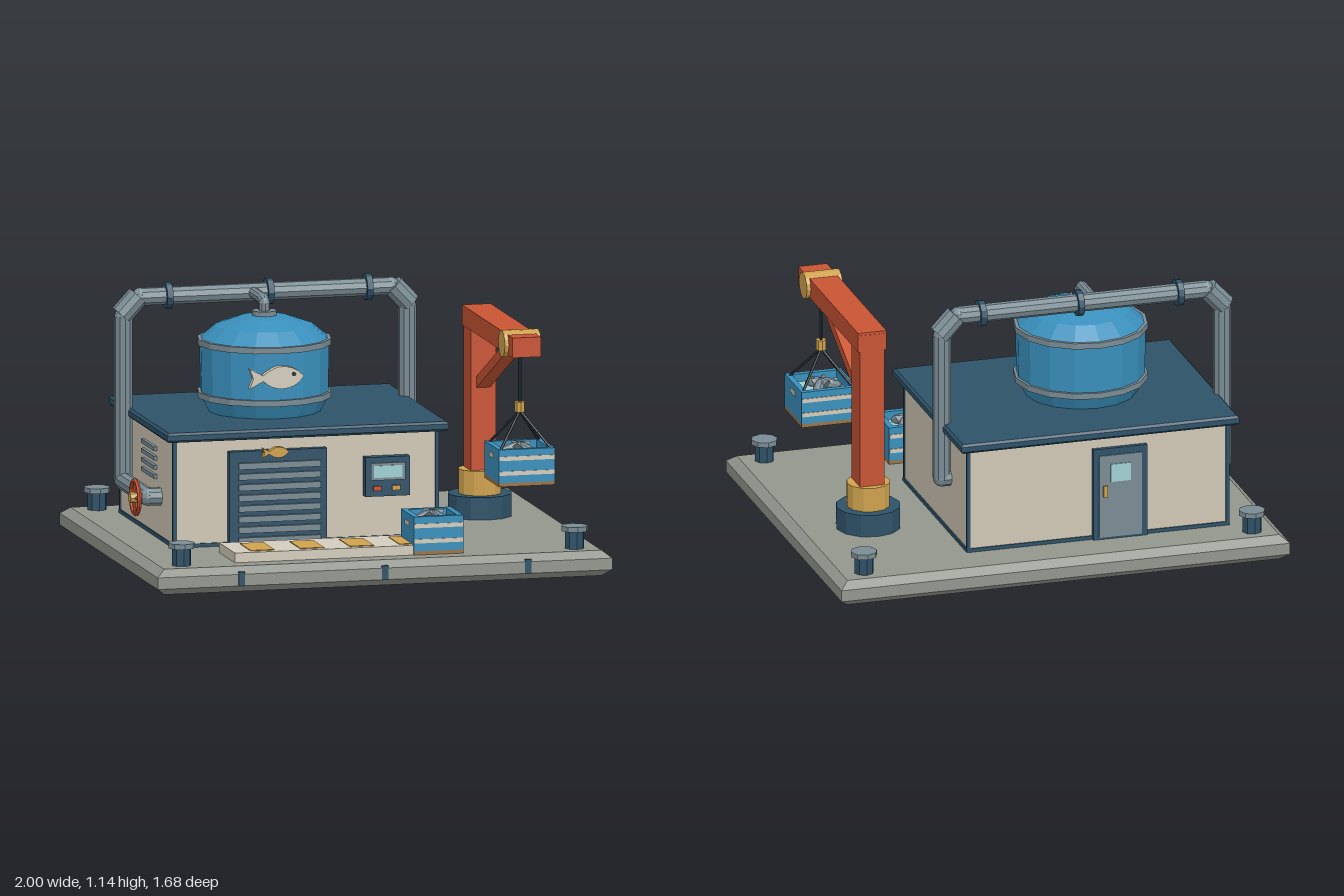
import * as THREE from 'three';

const C = { stone: 0x92968d, wall: 0xd0c8b6, navy: 0x2e5268, blue: 0x398fbc, red: 0xc85434, gold: 0xcfa24e,
  pipe: 0x7a8c94, cream: 0xd2ccbc, ice: 0x9fd0d2, wood: 0x9a7448, dark: 0x26333d };
const mats = {};
const mat = (c) => (mats[c] ??= new THREE.MeshStandardMaterial({ color: C[c], flatShading: true }));

function add(parent, name, geo, color, x = 0, y = 0, z = 0) {
  const m = new THREE.Mesh(geo, mat(color));
  m.name = name;
  m.position.set(x, y, z);
  parent.add(m);
  return m;
}
const box = (p, name, color, w, h, d, x, y, z) => add(p, name, new THREE.BoxGeometry(w, h, d), color, x, y, z);
// upright cylinder standing on y0
const drum = (p, name, color, r, y0, y1, x, z, n = 12) =>
  add(p, name, new THREE.CylinderGeometry(r, r, y1 - y0, n), color, x, (y0 + y1) / 2, z);
// cylinder between two points
function rod(p, name, color, a, b, r, n = 10) {
  const A = new THREE.Vector3(...a), B = new THREE.Vector3(...b), d = B.clone().sub(A);
  const m = add(p, name, new THREE.CylinderGeometry(r, r, d.length(), n), color);
  m.position.copy(A).add(B).multiplyScalar(0.5);
  m.quaternion.setFromUnitVectors(new THREE.Vector3(0, 1, 0), d.normalize());
  return m;
}
// slab with chamfered edges, lying on y0
function slab(p, name, color, w, d, y0, h, bevel, t, x, z) {
  const a = w / 2 - bevel, b = d / 2 - bevel;
  const s = new THREE.Shape([[-a, -b], [a, -b], [a, b], [-a, b]].map((v) => new THREE.Vector2(...v)));
  const g = new THREE.ExtrudeGeometry(s, { depth: h - 2 * t, bevelSize: bevel, bevelThickness: t, bevelSegments: 1 });
  g.rotateX(-Math.PI / 2);
  return add(p, name, g, color, x, y0 + t, z);
}
// flat fish facing +x, length about 1
function fishGeo(len, depth) {
  const s = new THREE.Shape();
  s.moveTo(0.5, 0.02);
  s.quadraticCurveTo(0.3, 0.24, 0.02, 0.2);
  s.quadraticCurveTo(-0.15, 0.14, -0.25, 0.05);
  s.lineTo(-0.5, 0.18);
  s.lineTo(-0.43, 0);
  s.lineTo(-0.5, -0.18);
  s.lineTo(-0.25, -0.05);
  s.quadraticCurveTo(-0.1, -0.2, 0.1, -0.2);
  s.quadraticCurveTo(0.35, -0.2, 0.5, 0.02);
  const g = new THREE.ExtrudeGeometry(s, { depth: depth / len, bevelEnabled: false, curveSegments: 4 });
  return g.scale(len, len, len);
}

// open crate of ice and fish
function crate(name, w, h, x, y, z) {
  const g = new THREE.Group();
  g.name = name;
  g.position.set(x, y, z);
  box(g, 'crateFloor', 'wood', w, 0.016, w, 0, 0.008, 0);
  const t = 0.025;
  for (const s of [-1, 1]) {
    box(g, 'crateFrontWall', 'blue', w, h - 0.016, t, 0, h / 2 + 0.008, s * (w - t) / 2);
    box(g, 'crateSideWall', 'blue', t, h - 0.016, w - 2 * t, s * (w - t) / 2, h / 2 + 0.008, 0);
    for (const f of [0.42, 0.82]) box(g, 'crateStripe', 'cream', w * 0.98, 0.018, 0.006, 0, h * f - 0.01, s * w / 2);
    box(g, 'crateHandle', 'cream', 0.006, 0.02, 0.07, s * w / 2, h * 0.75, 0);
  }
  box(g, 'ice', 'ice', w - 2 * t, 0.02, w - 2 * t, 0, h * 0.72, 0);
  for (let i = 0; i < 3; i++) {
    const a = i * 2.1 + 0.5, f = new THREE.Group();
    f.name = 'fish';
    f.position.set(Math.sin(a) * w * 0.17, h * 0.88, Math.cos(a) * w * 0.17);
    f.rotation.set(0, a, 0);
    const body = add(f, 'fishBody', new THREE.SphereGeometry(1, 8, 5), 'pipe');
    body.scale.set(0.024, 0.025, 0.055);
    body.rotation.x = 0.35;
    const tail = add(f, 'fishTail', new THREE.ConeGeometry(0.03, 0.045, 4), 'pipe', 0, 0.018, -0.055);
    tail.rotation.x = 1;
    g.add(f);
  }
  return g;
}

export function createModel() {
  const root = new THREE.Group();
  const group = (name) => { const g = new THREE.Group(); g.name = name; root.add(g); return g; };

  // quay slab with bumpers and bollards
  const quay = group('quay');
  slab(quay, 'platform', 'stone', 2, 1.68, 0, 0.11, 0.038, 0.03, 0, 0);
  for (const x of [-0.63, 0, 0.63]) box(quay, 'bumper', 'navy', 0.028, 0.06, 0.015, x, 0.06, 0.834);
  for (const x of [-0.865, 0.865]) for (const z of [-0.725, 0.72]) {
    drum(quay, 'bollardPost', 'navy', 0.042, 0.11, 0.19, x, z, 8);
    drum(quay, 'bollardCap', 'pipe', 0.058, 0.185, 0.207, x, z, 8);
  }

  // building
  const house = group('building');
  const cx = -0.21, cz = -0.16;
  box(house, 'walls', 'wall', 1.16, 0.47, 0.92, cx, 0.345, cz);
  box(house, 'plinth', 'navy', 1.172, 0.016, 0.932, cx, 0.118, cz);
  for (const sx of [-1, 1]) for (const sz of [-1, 1])
    box(house, 'cornerTrim', 'navy', 0.016, 0.46, 0.016, cx + sx * 0.577, 0.345, cz + sz * 0.457);
  slab(house, 'roof', 'navy', 1.24, 1.0, 0.57, 0.042, 0.01, 0.01, cx, cz);

  // roller shutter with fish emblem
  const shutter = group('shutter');
  box(shutter, 'shutterFrame', 'navy', 0.43, 0.41, 0.035, -0.34, 0.315, 0.315);
  for (let i = 0; i < 8; i++) box(shutter, 'shutterSlat', 'pipe', 0.36, 0.027, 0.02, -0.335, 0.135 + i * 0.046, 0.335);
  add(shutter, 'fishEmblem', fishGeo(0.115, 0.03), 'gold', -0.36, 0.517, 0.345);

  // control panel
  const panel = group('controlPanel');
  box(panel, 'panelBox', 'navy', 0.195, 0.17, 0.045, 0.14, 0.387, 0.32);
  box(panel, 'screenFrame', 'pipe', 0.15, 0.075, 0.01, 0.14, 0.41, 0.345);
  box(panel, 'screen', 'ice', 0.125, 0.052, 0.01, 0.14, 0.41, 0.348);
  box(panel, 'redButton', 'red', 0.035, 0.02, 0.015, 0.092, 0.338, 0.347);
  box(panel, 'goldButton', 'gold', 0.035, 0.02, 0.015, 0.175, 0.338, 0.347);

  // back door
  const door = group('backDoor');
  box(door, 'doorFrame', 'navy', 0.24, 0.41, 0.024, -0.305, 0.315, -0.627);
  box(door, 'doorLeaf', 'pipe', 0.19, 0.37, 0.012, -0.305, 0.305, -0.638);
  box(door, 'doorWindow', 'ice', 0.09, 0.08, 0.008, -0.305, 0.41, -0.644);
  box(door, 'doorHandle', 'gold', 0.018, 0.05, 0.016, -0.235, 0.33, -0.648);

  // wall vent on the right side
  for (let i = 0; i < 4; i++) box(house, 'ventSlat', 'pipe', 0.018, 0.018, 0.22, -0.795, 0.37 + i * 0.04, -0.1);

  // tank
  const tank = group('tank');
  const tx = -0.277, tz = -0.15;
  const prof = [[0, 0.61], [0.24, 0.61], [0.275, 0.675], [0.28, 0.92], [0.21, 0.98], [0.11, 1.015], [0, 1.028]];
  add(tank, 'tankBody', new THREE.LatheGeometry(prof.map((p) => new THREE.Vector2(...p)), 16), 'blue', tx, 0, tz);
  for (const y of [0.685, 0.913]) {
    const band = [[0.272, -0.013], [0.288, -0.013], [0.288, 0.013], [0.272, 0.013]];
    add(tank, 'tankBand', new THREE.LatheGeometry(band.map((p) => new THREE.Vector2(...p)), 16), 'pipe', tx, y, tz);
  }
  add(tank, 'tankFish', fishGeo(0.24, 0.03), 'cream', -0.3, 0.8, 0.128);
  const eye = add(tank, 'fishEye', new THREE.CylinderGeometry(0.009, 0.009, 0.008, 8), 'dark', -0.225, 0.815, 0.16);
  eye.rotation.x = Math.PI / 2;

  // pipework
  const pipes = group('pipework');
  const pz = -0.355, py = 1.087;
  drum(pipes, 'tankFlange', 'pipe', 0.053, 1.0, 1.042, tx, tz);
  const run = (name, pts, r) => {
    for (let i = 0; i < pts.length - 1; i++) rod(pipes, name, 'pipe', pts[i], pts[i + 1], r);
    for (const p of pts.slice(1, -1)) add(pipes, name + 'Joint', new THREE.SphereGeometry(r, 10, 6), 'pipe', ...p);
  };
  run('tankPipe', [[tx, 1.03, tz], [tx, 1.075, tz], [tx, py, tz - 0.02], [tx, py, pz]], 0.025);
  run('mainPipe', [[-0.79, 0.295, 0.065], [-0.845, 0.295, 0.065], [-0.845, 0.295, pz], [-0.845, 1.005, pz], [-0.77, py, pz],
    [0.33, py, pz], [0.405, 1.005, pz], [0.405, 0.36, pz], [0.36, 0.36, pz]], 0.039);
  rod(pipes, 'pipeElbow', 'pipe', [-0.855, 1.01, pz], [-0.78, 1.09, pz], 0.048);
  rod(pipes, 'pipeElbow', 'pipe', [0.34, 1.09, pz], [0.415, 1.01, pz], 0.048);
  for (const x of [-0.65, -0.205, 0.23]) rod(pipes, 'pipeClamp', 'navy', [x - 0.013, py, pz], [x + 0.013, py, pz], 0.057, 12);

  // valve handwheel
  const valve = group('valve');
  rod(valve, 'valveHub', 'gold', [-0.925, 0.295, 0.065], [-0.865, 0.295, 0.065], 0.024, 8);
  const wheel = add(valve, 'handwheel', new THREE.TorusGeometry(0.072, 0.01, 6, 16), 'red', -0.9, 0.295, 0.065);
  wheel.rotation.y = Math.PI / 2;
  for (let i = 0; i < 2; i++) {
    const a = i * Math.PI / 2, dy = Math.cos(a) * 0.07, dz = Math.sin(a) * 0.07;
    rod(valve, 'wheelSpoke', 'red', [-0.9, 0.295 - dy, 0.065 - dz], [-0.9, 0.295 + dy, 0.065 + dz], 0.007, 6);
  }

  // crane
  const crane = group('crane');
  const kx = 0.68, kz = -0.185, hz = 0.5;
  drum(crane, 'craneBase', 'navy', 0.14, 0.11, 0.207, kx, kz);
  drum(crane, 'craneCollar', 'gold', 0.094, 0.2, 0.313, kx, kz);
  box(crane, 'cranePost', 'red', 0.11, 0.7, 0.122, kx, 0.65, kz);
  box(crane, 'craneArm', 'red', 0.126, 0.086, 0.865, kx, 0.968, 0.188);
  const brace = box(crane, 'craneBrace', 'red', 0.06, 0.045, 0.55, kx, 0.805, 0.11);
  brace.rotation.x = -Math.atan2(0.22, 0.47);
  rod(crane, 'pulley', 'gold', [kx - 0.08, 0.968, hz], [kx + 0.08, 0.968, hz], 0.058, 14);
  rod(crane, 'cable', 'dark', [kx, 0.93, hz], [kx, 0.7, hz], 0.007, 6);
  drum(crane, 'hookBlock', 'gold', 0.023, 0.67, 0.715, kx, hz, 8);
  for (const sx of [-1, 1]) for (const sz of [-1, 1])
    rod(crane, 'sling', 'dark', [kx, 0.675, hz], [kx + sx * 0.11, 0.525, hz + sz * 0.1], 0.006, 6);
  crane.add(crate('hangingCrate', 0.248, 0.16, kx, 0.37, hz));

  // loading strip and crate on the quay
  const strip = group('loadingStrip');
  box(strip, 'stripSlab', 'cream', 0.895, 0.042, 0.268, -0.183, 0.131, 0.588);
  for (let i = 0; i < 4; i++) box(strip, 'stripMark', 'gold', 0.105, 0.006, 0.19, -0.5 + i * 0.218, 0.152, 0.597);
  root.add(crate('quayCrate', 0.218, 0.165, 0.264, 0.11, 0.62));

  return root;
}
